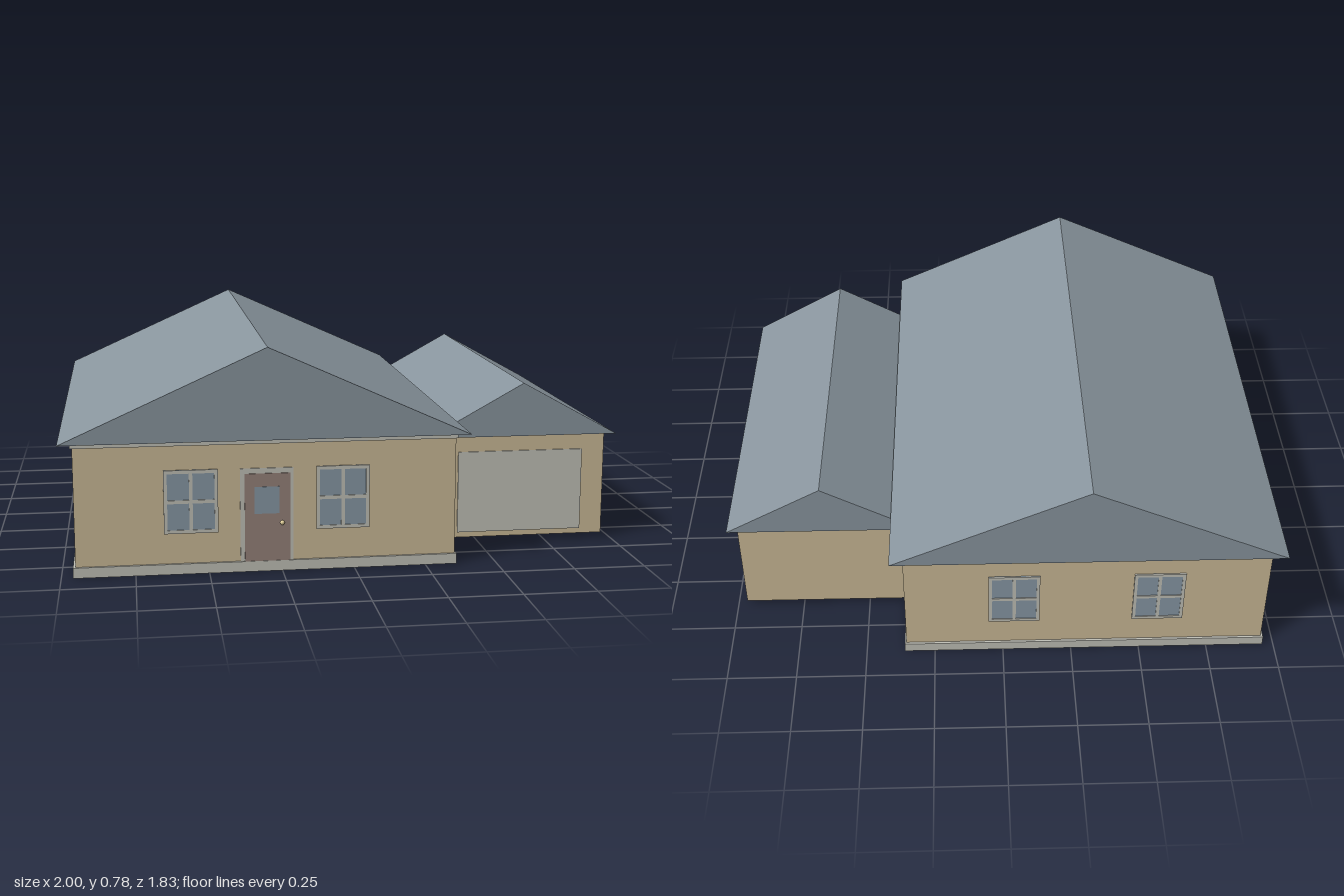
import * as THREE from 'three';

const mat = (name, color) => {
  const m = new THREE.MeshStandardMaterial({ color });
  m.name = name;
  return m;
};

export function createModel() {
  const wall = mat('beige wall', 0xcbba97);
  const trim = mat('pale trim', 0xc0c0b7);
  const roof = mat('slate roof', 0x89959e);
  const glass = mat('window glass', 0x8798a5);
  const wood = mat('brown door', 0x95827a);
  const brass = mat('brass', 0xe2d09a);

  const house = new THREE.Group();
  house.name = 'house';

  // Box given by its limits on each axis
  const box = (parent, name, material, [x0, x1], [y0, y1], [z0, z1]) => {
    const mesh = new THREE.Mesh(new THREE.BoxGeometry(x1 - x0, y1 - y0, z1 - z0), material);
    mesh.position.set((x0 + x1) / 2, (y0 + y1) / 2, (z0 + z1) / 2);
    mesh.name = name;
    parent.add(mesh);
    return mesh;
  };

  // Solid gable roof with its ridge along z
  const gable = (name, cx, halfWidth, eave, ridge, halfLength) => {
    const shape = new THREE.Shape([
      new THREE.Vector2(-halfWidth, eave),
      new THREE.Vector2(halfWidth, eave),
      new THREE.Vector2(0, ridge),
    ]);
    const geo = new THREE.ExtrudeGeometry(shape, { depth: 2 * halfLength, bevelEnabled: false });
    const mesh = new THREE.Mesh(geo, roof);
    mesh.position.set(cx, 0, -halfLength);
    mesh.name = name;
    house.add(mesh);
  };

  // Main building
  box(house, 'plinth', trim, [-0.96, 0.36], [0, 0.036], [-0.883, 0.883]);
  box(house, 'mainWalls', wall, [-0.952, 0.354], [0.036, 0.446], [-0.874, 0.874]);
  box(house, 'eaveTrim', trim, [-0.96, 0.36], [0.446, 0.465], [-0.88, 0.88]);
  gable('mainRoof', -0.3, 0.7, 0.465, 0.78, 0.917);

  // Garage
  box(house, 'garageWalls', wall, [0.34, 0.965], [0.02, 0.4], [-0.628, 0.628]);
  gable('garageRoof', 0.65, 0.35, 0.4, 0.594, 0.66);
  box(house, 'garageDoor', trim, [0.42, 0.882], [0.04, 0.34], [0.628, 0.633]);

  // Four-pane window: glass plate with frame and glazing bars
  const W = 0.092, H = 0.11, BAR = 0.006;
  const addWindow = (x, z, turn) => {
    const win = new THREE.Group();
    win.name = 'window';
    box(win, 'glass', glass, [-W, W], [-H, H], [0, 0.003]);
    for (const s of [-1, 0, 1]) {
      const bx = s * (W - BAR), by = s * (H - BAR);
      box(win, 'uprightBar', trim, [bx - BAR, bx + BAR], [-H, H], [0, 0.006]);
      box(win, 'crossBar', trim, [-W, W], [by - BAR, by + BAR], [0, 0.006]);
    }
    win.position.set(x, 0.252, z);
    win.rotation.y = turn;
    house.add(win);
  };
  for (const x of [-0.56, -0.04]) {
    addWindow(x, 0.874, 0);
    addWindow(x, -0.874, Math.PI);
  }
  for (const z of [-0.5, 0, 0.5]) addWindow(-0.952, z, -Math.PI / 2);

  // Front door
  const door = new THREE.Group();
  door.name = 'frontDoor';
  box(door, 'doorFrame', trim, [-0.393, -0.211], [0.036, 0.361], [0.874, 0.878]);
  box(door, 'doorLeaf', wood, [-0.378, -0.222], [0.036, 0.343], [0.874, 0.881]);
  box(door, 'doorGlass', glass, [-0.345, -0.26], [0.203, 0.297], [0.874, 0.883]);
  const knob = new THREE.Mesh(new THREE.SphereGeometry(0.008, 12, 8), brass);
  knob.position.set(-0.25, 0.17, 0.885);
  knob.name = 'doorKnob';
  door.add(knob);
  house.add(door);

  return house;
}
